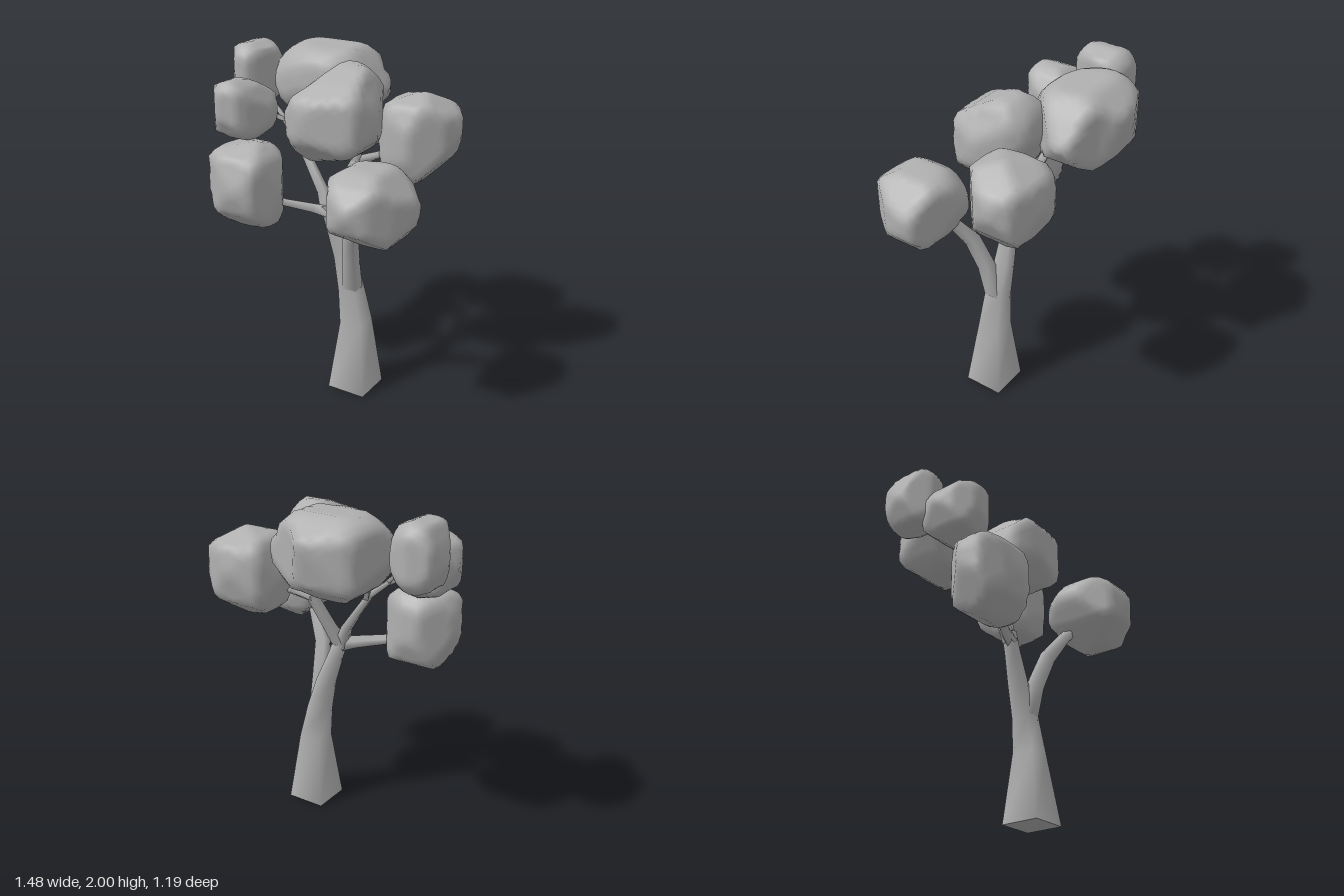
import * as THREE from 'three';
import { mergeVertices } from 'three/addons/utils/BufferGeometryUtils.js';

const grey = new THREE.MeshStandardMaterial({ color: 0xb0b0b0 });
grey.name = 'plain grey';

// Distance from a centre to a closed outline, along direction (dx, dy)
function outlineReach(outline, cx, cy, dx, dy) {
  let reach = Infinity;
  outline.forEach(([ax, ay], i) => {
    const [bx, by] = outline[(i + 1) % outline.length];
    const ex = bx - ax, ey = by - ay;
    const det = dx * ey - dy * ex;
    if (Math.abs(det) < 1e-9) return;
    const px = ax - cx, py = ay - cy;
    const t = (px * ey - py * ex) / det;
    const s = (px * dy - py * dx) / det;
    if (t > 0 && s >= -1e-6 && s <= 1 + 1e-6) reach = Math.min(reach, t);
  });
  return reach;
}

// Rounded leaf clump bounded by a front (x,y), top (x,z) and optional side (z,y) outline
function leafClump(name, front, top, side) {
  const range = (pts, k) => {
    const v = pts.map((p) => p[k]);
    const lo = Math.min(...v), hi = Math.max(...v);
    return [(lo + hi) / 2, (hi - lo) / 2];
  };
  const [cx, hx] = range(front, 0), [cy, hy] = range(front, 1), [cz, hz] = range(top, 1);
  let geo = new THREE.IcosahedronGeometry(1, 6);
  geo.deleteAttribute('uv');
  geo.deleteAttribute('normal');
  geo = mergeVertices(geo, 1e-4);
  const pos = geo.attributes.position, d = new THREE.Vector3();
  for (let i = 0; i < pos.count; i++) {
    d.fromBufferAttribute(pos, i).multiply(new THREE.Vector3(hx, hy, hz));
    const r = Math.min(
      1.15,
      outlineReach(front, cx, cy, d.x, d.y),
      outlineReach(top, cx, cz, d.x, d.z),
      side ? outlineReach(side, cz, cy, d.z, d.y) : Infinity);
    d.multiplyScalar(r);
    pos.setXYZ(i, cx + d.x, cy + d.y, cz + d.z);
  }
  geo.computeVertexNormals();
  const mesh = new THREE.Mesh(geo, grey);
  mesh.name = name;
  return mesh;
}

// Square tapered limb through stations [x, y, z, half width], closed at both ends
function limb(name, stations) {
  const sides = 4;
  const pts = stations.map((s) => new THREE.Vector3(s[0], s[1], s[2]));
  const verts = [], index = [], n = pts.length;
  pts.forEach((p, i) => {
    const dir = pts[Math.min(i + 1, n - 1)].clone().sub(pts[Math.max(i - 1, 0)]).normalize();
    if (p.y === 0) dir.set(0, 1, 0);
    const v = new THREE.Vector3(1, 0, 0).cross(dir).normalize();
    const u = dir.clone().cross(v).normalize();
    const r = stations[i][3] * Math.SQRT2;
    for (let k = 0; k < sides; k++) {
      const a = ((k + 0.5) / sides) * Math.PI * 2;
      const q = p.clone().addScaledVector(u, Math.cos(a) * r).addScaledVector(v, Math.sin(a) * r);
      verts.push(q.x, q.y, q.z);
    }
  });
  for (let i = 0; i < n - 1; i++) {
    for (let k = 0; k < sides; k++) {
      const a = i * sides + k, b = i * sides + (k + 1) % sides;
      index.push(a, a + sides, b, b, a + sides, b + sides);
    }
  }
  // End caps use their own corners so the rims stay crisp
  [0, n - 1].forEach((ring) => {
    const base = verts.length / 3;
    for (let k = 0; k < sides * 3; k++) verts.push(verts[ring * sides * 3 + k]);
    for (let k = 1; k < sides - 1; k++) {
      if (ring === 0) index.push(base, base + k, base + k + 1);
      else index.push(base, base + k + 1, base + k);
    }
  });
  // Make sure the faces look outward
  const vec = (k) => new THREE.Vector3().fromArray(verts, k * 3);
  const face = vec(index[1]).sub(vec(index[0])).cross(vec(index[2]).sub(vec(index[0])));
  if (face.dot(vec(index[0]).sub(pts[0])) < 0) index.reverse();
  const geo = new THREE.BufferGeometry();
  geo.setAttribute('position', new THREE.Float32BufferAttribute(verts, 3));
  geo.setIndex(index);
  geo.computeVertexNormals();
  const mesh = new THREE.Mesh(geo, grey);
  mesh.name = name;
  return mesh;
}

export function createModel() {
  const tree = new THREE.Group();
  tree.name = 'tree';

  // Trunk running on into the left limb, then the branches
  tree.add(
    limb('trunk', [[0.25, 0, 0.02, 0.12], [0.243, 0.43, 0.013, 0.07], [0.207, 0.64, 0.013, 0.056],
      [0.15, 0.84, 0.005, 0.044], [0.085, 1.02, 0.015, 0.034], [0.045, 1.14, 0.02, 0.032]]),
    limb('rightLimb', [[0.215, 0.6, 0.012, 0.045], [0.238, 0.84, 0.07, 0.037], [0.272, 1.02, 0.14, 0.034],
      [0.37, 1.17, 0.2, 0.025], [0.46, 1.28, 0.27, 0.02]]),
    limb('lowerLeftBranch', [[0.06, 1.09, 0.02, 0.034], [-0.03, 1.11, 0.05, 0.026],
      [-0.18, 1.135, 0.12, 0.021], [-0.33, 1.18, 0.18, 0.018]]),
    limb('upperLeftBranch', [[0.055, 1.08, 0.02, 0.034], [0, 1.21, 0, 0.025], [-0.2, 1.47, -0.06, 0.018],
      [-0.34, 1.58, -0.09, 0.012]]),
    limb('leftTwig', [[-0.32, 1.565, -0.085, 0.012], [-0.48, 1.65, 0.02, 0.009]]),
    limb('farLeftTwig', [[-0.31, 1.56, -0.085, 0.012], [-0.42, 1.66, -0.11, 0.01],
      [-0.56, 1.76, -0.17, 0.008]]),
    limb('crownTwig', [[-0.17, 1.44, -0.055, 0.015], [-0.24, 1.54, -0.15, 0.012],
      [-0.25, 1.62, -0.25, 0.01]]),
    limb('middleBranch', [[0.055, 1.09, 0.02, 0.034], [0.095, 1.2, -0.03, 0.027],
      [0.17, 1.41, -0.11, 0.024]]),
    limb('middleTwig', [[0.172, 1.38, -0.1, 0.022], [0.16, 1.48, -0.1, 0.017], [0.13, 1.58, -0.05, 0.012]]),
    limb('backTwig', [[0.16, 1.39, -0.1, 0.021], [0.27, 1.43, -0.16, 0.015], [0.42, 1.5, -0.24, 0.012]]),
  );

  // Leaf clumps
  tree.add(
    leafClump('backCrown',
      [[-.475, 1.93], [-.33, 2], [.03, 2], [.12, 1.9], [.22, 1.76], [.13, 1.64], [-.08, 1.53], [-.25, 1.52],
        [-.35, 1.59], [-.46, 1.76]],
      [[-.475, -.19], [-.42, -.39], [-.38, -.52], [-.24, -.58], [-.09, -.605], [0, -.52], [.19, -.45], [.225, -.36],
        [.14, -.26], [-.02, -.1], [-.23, -.09], [-.39, -.13]],
      [[-.11, 1.985], [-.44, 2], [-.605, 1.88], [-.54, 1.62], [-.4, 1.52], [-.2, 1.54], [-.09, 1.75]]),
    leafClump('frontCrown',
      [[-.16, 1.6], [-.13, 1.74], [.09, 1.97], [.26, 1.97], [.3, 1.87], [.375, 1.735], [.36, 1.58], [.27, 1.49],
        [0, 1.415], [-.13, 1.46]],
      [[-.165, .06], [-.15, -.02], [-.09, -.12], [.03, -.21], [.24, -.225], [.31, -.14], [.375, .05], [.33, .21],
        [.01, .285], [-.12, .21]],
      [[.285, 1.7], [.26, 1.8], [.12, 1.89], [-.02, 1.96], [-.13, 1.975], [-.21, 1.87], [-.22, 1.74], [-.06, 1.45],
        [.1, 1.415], [.27, 1.57]]),
    leafClump('backRightClump',
      [[.24, 1.55], [.32, 1.76], [.51, 1.815], [.7, 1.69], [.72, 1.58], [.63, 1.42], [.5, 1.28], [.33, 1.33]],
      [[.235, -.2], [.245, -.32], [.3, -.45], [.485, -.49], [.67, -.42], [.72, -.31], [.675, -.19], [.51, -.045],
        [.36, -.07]],
      [[-.04, 1.6], [-.1, 1.755], [-.27, 1.815], [-.46, 1.72], [-.485, 1.58], [-.43, 1.395], [-.27, 1.28],
        [-.11, 1.31], [-.05, 1.45]]),
    leafClump('frontRightClump',
      [[.26, 1.38], [.29, 1.475], [.39, 1.54], [.58, 1.53], [.74, 1.37], [.725, 1.235], [.65, 1.14], [.525, 1.09],
        [.34, 1.235]],
      [[.25, .325], [.275, .12], [.43, .08], [.73, .19], [.74, .26], [.7, .4], [.6, .54], [.5, .605], [.365, .545]],
      [[.605, 1.36], [.52, 1.475], [.4, 1.54], [.12, 1.53], [.08, 1.36], [.14, 1.18], [.25, 1.09], [.4, 1.13],
        [.55, 1.235]]),
    leafClump('lowerLeftClump',
      [[-.625, 1.35], [-.55, 1.46], [-.31, 1.505], [-.21, 1.42], [-.155, 1.235], [-.2, 1.02], [-.4, .975],
        [-.51, 1.01], [-.61, 1.225]],
      [[-.62, .17], [-.59, .31], [-.45, .395], [-.335, .42], [-.235, .385], [-.155, .2], [-.21, .1], [-.335, .01],
        [-.47, .0]],
      [[.42, 1.25], [.36, 1.43], [.2, 1.505], [.06, 1.47], [-.02, 1.365], [.01, 1.18], [.07, 1.05], [.22, .975],
        [.37, 1.1]]),
    leafClump('middleLeftClump',
      [[-.69, 1.685], [-.63, 1.79], [-.505, 1.845], [-.415, 1.79], [-.33, 1.66], [-.35, 1.54], [-.43, 1.46],
        [-.615, 1.53]],
      [[-.69, .04], [-.63, -.09], [-.49, -.12], [-.355, -.07], [-.33, .02], [-.375, .18], [-.425, .245],
        [-.56, .27], [-.65, .16]],
      [[.275, 1.76], [.21, 1.84], [.05, 1.82], [-.12, 1.7], [-.08, 1.55], [.05, 1.46], [.2, 1.5], [.27, 1.62]]),
    leafClump('upperLeftClump',
      [[-.745, 1.77], [-.72, 1.87], [-.665, 1.975], [-.575, 1.995], [-.47, 1.95], [-.445, 1.79], [-.47, 1.65],
        [-.58, 1.6], [-.68, 1.63]],
      [[-.745, -.2], [-.71, -.325], [-.58, -.35], [-.47, -.315], [-.455, -.24], [-.49, -.08], [-.54, -.01],
        [-.625, -.015], [-.73, -.14]]),
  );
  return tree;
}
